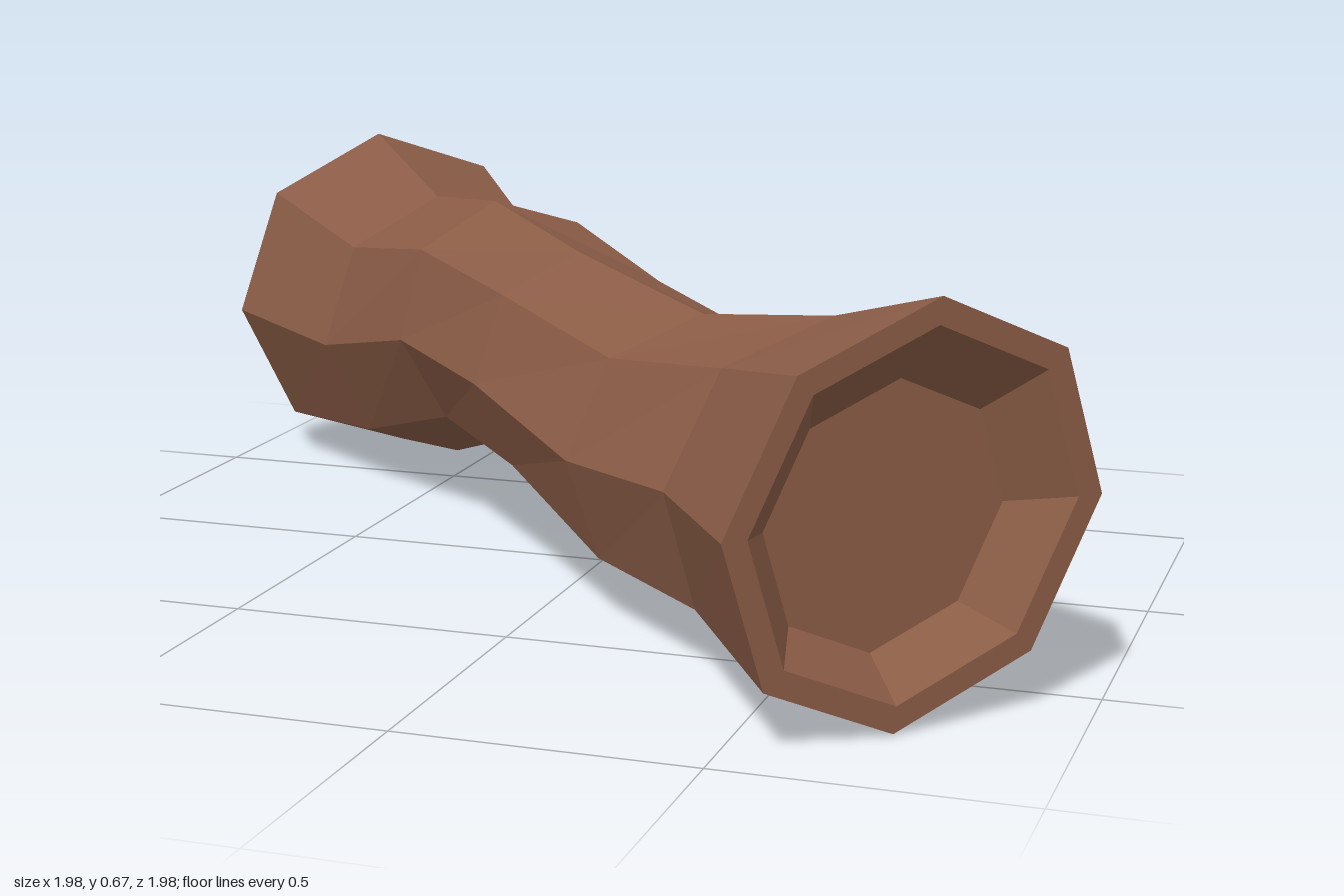
import * as THREE from 'three';

const SIDES = 8;

// Trunk rings from front to back:
// [along the diagonal axis, sideways centre, height, radius, roll, lean]
const RINGS = [
  [1.50, 0.005, 0.337, 0.333, 0, 0.035],
  [0.96, 0.050, 0.295, 0.277, -0.07, 0.012],
  [0.49, 0.006, 0.278, 0.245, -0.06, 0],
  [0.00, -0.034, 0.359, 0.222, 0, -0.012],
  [-0.50, -0.023, 0.396, 0.233, 0.09, -0.012],
  [-1.02, -0.004, 0.319, 0.268, 0.07, 0],
  [-1.515, 0.008, 0.338, 0.337, 0.06, 0],
];

// Points of one ring, lying in a plane across the diagonal axis
function ringPoints([s, side, height, radius, roll, lean]) {
  const points = [];
  for (let j = 0; j < SIDES; j++) {
    const a = (j / SIDES) * Math.PI * 2 + roll;
    const w = (side + radius * Math.cos(a) + lean * Math.sin(a)) / Math.SQRT2;
    points.push([s / 2 + w, height + radius * Math.sin(a), s / 2 - w]);
  }
  return points;
}

// Faceted skin through a list of rings, ordered front to back
function loft(name, rings, material) {
  const rows = rings.map(ringPoints);
  const positions = [];
  for (let i = 0; i < rows.length - 1; i++) {
    for (let j = 0; j < SIDES; j++) {
      const k = (j + 1) % SIDES;
      const a = rows[i][j], b = rows[i][k];
      const c = rows[i + 1][j], d = rows[i + 1][k];
      if (rings[i + 1][3] > 0) positions.push(...c, ...d, ...a);
      if (rings[i][3] > 0) positions.push(...d, ...b, ...a);
    }
  }
  const geometry = new THREE.BufferGeometry();
  geometry.setAttribute('position', new THREE.Float32BufferAttribute(positions, 3));
  geometry.computeVertexNormals();
  const mesh = new THREE.Mesh(geometry, material);
  mesh.name = name;
  return mesh;
}

// Cut end: flat rim, sloping inner wall and recessed floor
function hollowRings(end, inward) {
  const [s, side, height, radius, roll, lean] = end;
  const depth = s + inward * 0.13;
  return [
    end,
    [s, side, height, radius * 0.87, roll, lean * 0.87],
    [depth, side, height - 0.02, radius * 0.64, roll, lean * 0.64],
    [depth, side, height - 0.02, 0, roll, 0],
  ];
}

export function createModel() {
  const group = new THREE.Group();
  group.name = 'hollowLog';
  const bark = new THREE.MeshStandardMaterial({ color: 0x8a5c46, flatShading: true });

  group.add(loft('trunk', RINGS, bark));
  group.add(loft('frontHollow', hollowRings(RINGS[0], -1).reverse(), bark));
  group.add(loft('backHollow', hollowRings(RINGS[RINGS.length - 1], 1), bark));
  return group;
}
